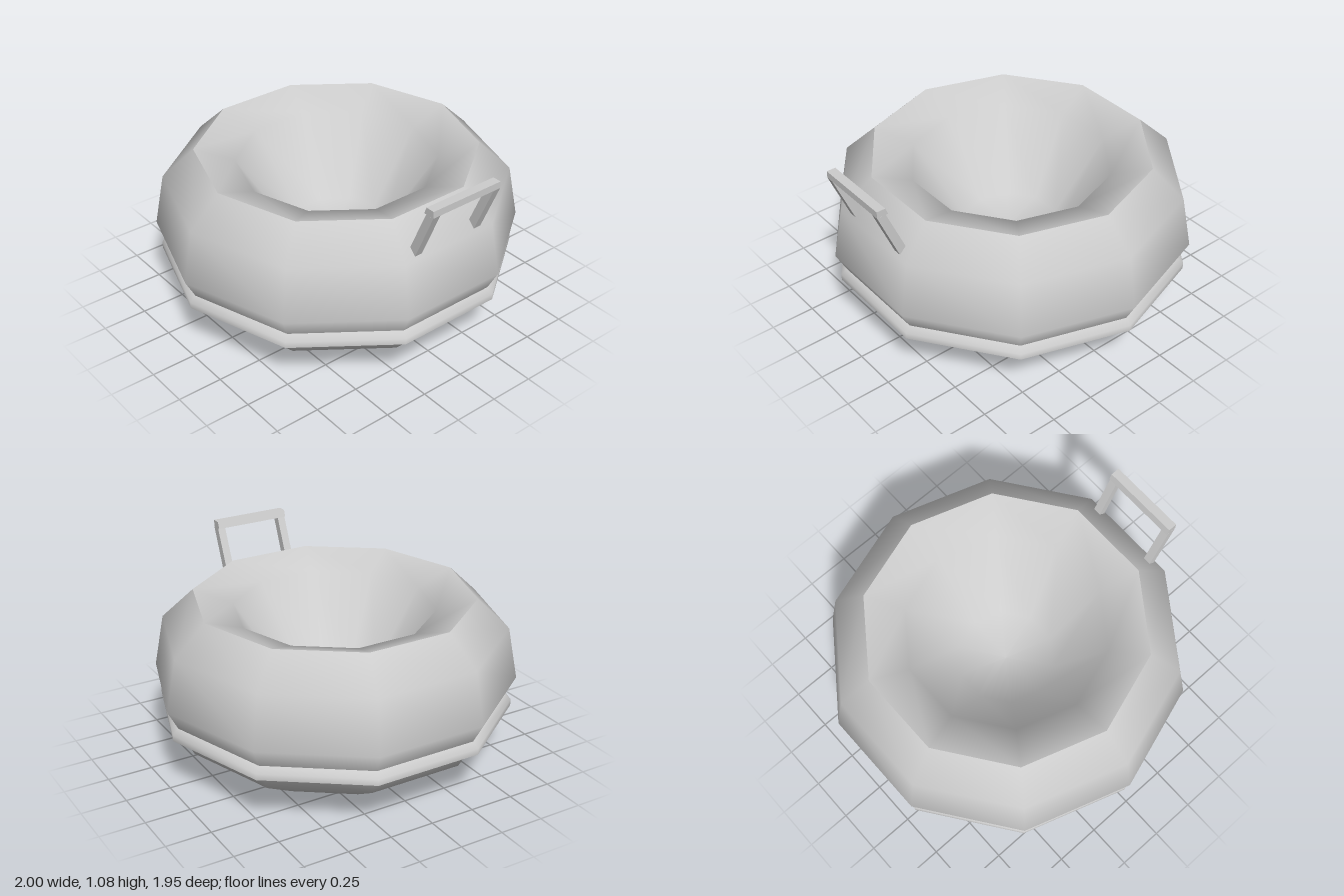
import * as THREE from 'three';

export function createModel() {
  const group = new THREE.Group();
  const gray = new THREE.MeshStandardMaterial({ color: 0xcccccc });
  gray.name = 'light gray';

  // Ten-sided turned part, with corners on the x axis
  const turned = (name, profile) => {
    const points = profile.map(([r, y]) => new THREE.Vector2(r, y));
    const mesh = new THREE.Mesh(new THREE.LatheGeometry(points, 10, Math.PI / 2), gray);
    mesh.name = name;
    mesh.position.z = -0.027;
    group.add(mesh);
  };

  turned('base', [[0, 0], [0.57, 0], [0.86, 0.18], [0.925, 0.3]]);
  turned('bandUnderside', [[0.9, 0.29], [0.978, 0.29]]);
  turned('band', [[0.978, 0.29], [0.978, 0.325], [0.945, 0.355], [0.92, 0.357]]);
  turned('outerShell', [[0.94, 0.345], [1, 0.46], [0.945, 0.75], [0.77, 0.915]]);
  turned('bowl', [[0.77, 0.915], [0.55, 0.84], [0.27, 0.42], [0, 0.4]]);

  // Handle parts: a side outline (z, y) swept across x
  const swept = (name, outline, width, x) => {
    const shape = new THREE.Shape(outline.map(([z, y]) => new THREE.Vector2(-z, y)));
    const geometry = new THREE.ExtrudeGeometry(shape, { depth: width, bevelEnabled: false });
    geometry.translate(0, 0, -width / 2);
    geometry.rotateY(Math.PI / 2);
    const mesh = new THREE.Mesh(geometry, gray);
    mesh.name = name;
    mesh.position.x = x;
    group.add(mesh);
  };

  const leg = [[0.815, 0.79], [0.855, 0.76], [0.972, 1.042], [0.922, 1.042]];
  swept('handleLegLeft', leg, 0.045, 0.198);
  swept('handleLegRight', leg, 0.045, -0.198);
  swept('handleBar', [[0.908, 1.042], [0.972, 1.042], [0.972, 1.08], [0.922, 1.08]], 0.44, 0);

  return group;
}
